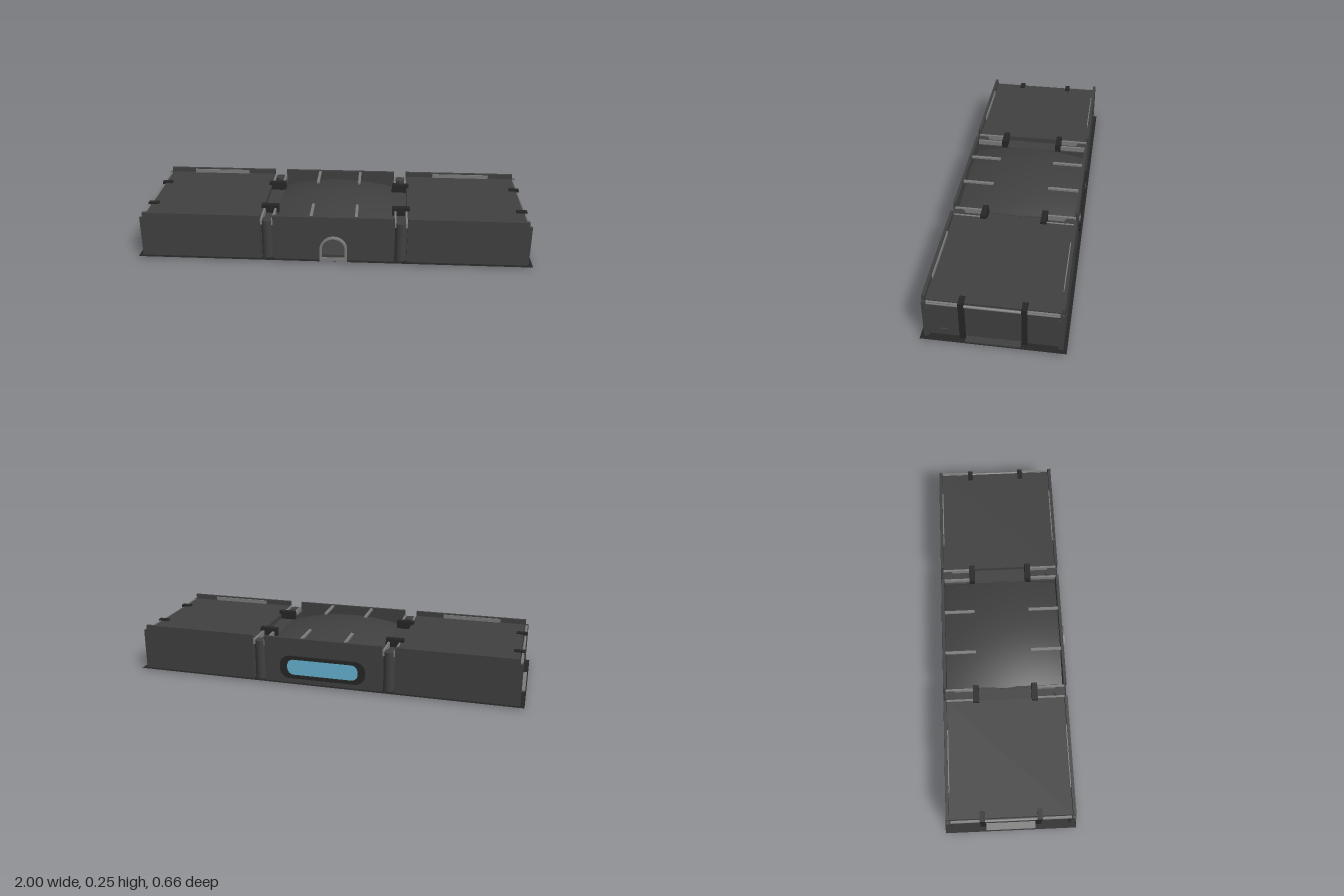
import * as THREE from 'three';

const material = (color) => new THREE.MeshStandardMaterial({ color, side: THREE.DoubleSide });

export function createModel() {
  const root = new THREE.Group();
  const dark = material(0x404040), black = material(0x262626);
  const light = material(0x7c7c7c), glass = material(0x66b4d4);

  const add = (name, geo, mat, x = 0, y = 0, z = 0, parent = root) => {
    const m = new THREE.Mesh(geo, mat);
    m.name = name;
    m.position.set(x, y, z);
    parent.add(m);
    return m;
  };
  // box given by its limits on each axis
  const box = (name, mat, x0, x1, y0, y1, z0, z1, parent = root) =>
    add(name, new THREE.BoxGeometry(x1 - x0, y1 - y0, z1 - z0), mat,
      (x0 + x1) / 2, (y0 + y1) / 2, (z0 + z1) / 2, parent);
  const extrude = (shape, depth) =>
    new THREE.ExtrudeGeometry(shape, { depth, bevelEnabled: false, curveSegments: 16 });
  const polygon = (pts) => new THREE.Shape(pts.map(([x, y]) => new THREE.Vector2(x, y)));

  // door arch and rounded window outlines
  const arch = (r, y0, spring, Type = THREE.Shape) => {
    const s = new Type();
    s.moveTo(-r, y0);
    s.lineTo(r, y0);
    s.lineTo(r, spring);
    s.absarc(0, spring, r, 0, Math.PI, false);
    s.closePath();
    return s;
  };
  const roundRect = (w, h, r, Type = THREE.Shape) => {
    const s = new Type(), cy = 0.095;
    s.moveTo(-w + r, cy - h);
    s.absarc(w - r, cy - h + r, r, -Math.PI / 2, 0, false);
    s.absarc(w - r, cy + h - r, r, 0, Math.PI / 2, false);
    s.absarc(-w + r, cy + h - r, r, Math.PI / 2, Math.PI, false);
    s.absarc(-w + r, cy - h + r, r, Math.PI, Math.PI * 1.5, false);
    return s;
  };

  // thin ground plate
  const plate = add('groundPlate', new THREE.PlaneGeometry(2, 0.664), black, 0, 0.009, 0);
  plate.rotation.x = -Math.PI / 2;

  // underside: floor slab and grid of tiles for each module
  for (const cx of [-0.66, 0, 0.66]) {
    box('floorSlab', dark, cx - 0.3, cx + 0.3, 0.003, 0.014, -0.297, 0.297);
    for (let i = 0; i < 8; i++) for (let j = 0; j < 8; j++) {
      const x = cx + (i - 3.5) * 0.074, z = (j - 3.5) * 0.073;
      box('floorTile', black, x - 0.035, x + 0.035, 0, 0.003, z - 0.035, z + 0.035);
    }
  }

  // end modules, mirrored
  for (const s of [-1, 1]) {
    const g = new THREE.Group();
    g.name = s > 0 ? 'leftModule' : 'rightModule';
    root.add(g);
    const bx = (name, mat, x0, x1, ...r) =>
      box(name, mat, Math.min(s * x0, s * x1), Math.max(s * x0, s * x1), ...r, g);
    bx('moduleBody', dark, 0.37, 0.96, 0.01, 0.222, -0.3, 0.3);
    const wall = polygon([[0.37, 0.01], [0.98, 0.01], [0.98, 0.22], [0.965, 0.22], [0.965, 0.247], [0.37, 0.247]]
      .map(([x, y]) => [s * x, y]));
    for (const z of [-0.315, 0.3]) add('longWall', extrude(wall, 0.015), dark, 0, 0, z, g);
    for (const t of [-1, 1]) {
      // roof edge bar, end post, roof clamp
      const z = t * 0.3;
      bx('roofEdgeBar', light, 0.52, 0.83, 0.222, 0.242, z - 0.005, z + 0.005);
      bx('endPost', black, 0.958, 0.975, 0.01, 0.222, t * 0.14 - 0.013, t * 0.14 + 0.013);
      bx('roofClamp', black, 0.925, 0.978, 0.205, 0.23, t * 0.14 - 0.013, t * 0.14 + 0.013);
      bx('endRail', light, 0.965, 0.975, 0.216, 0.222, t * 0.215 - 0.08, t * 0.215 + 0.08);
      bx('cornerPost', dark, 0.95, 0.975, 0.01, 0.18, t * 0.3 - 0.008, t * 0.3 + 0.008);
    }
    const pipe = add('endPipe', new THREE.CylinderGeometry(0.007, 0.007, 0.59, 12), light, s * 0.97, 0.211, 0, g);
    pipe.rotation.x = Math.PI / 2;
    bx('endSill', s < 0 ? light : dark, 0.96, 0.995, 0.009, 0.016, -0.125, 0.125);
  }
  box('endHatch', dark, 0.96, 0.968, 0.018, 0.052, 0.208, 0.242);

  // middle module: walls with door and window openings
  const outline = () => polygon([[-0.305, 0.01], [0.305, 0.01], [0.305, 0.247], [-0.305, 0.247]]);
  const front = outline();
  front.holes.push(arch(0.058, 0.03, 0.077, THREE.Path));
  add('frontWall', extrude(front, 0.015), dark, 0, 0, 0.3);
  const back = outline();
  back.holes.push(roundRect(0.185, 0.042, 0.035, THREE.Path));
  add('backWall', extrude(back, 0.015), dark, 0, 0, -0.315);
  for (const s of [-1, 1]) box('innerSideWall', dark, s * 0.3 - 0.005, s * 0.3 + 0.005, 0.01, 0.197, -0.3, 0.3);

  const doorFrame = arch(0.07, 0.01, 0.073);
  doorFrame.holes.push(arch(0.058, 0.03, 0.077, THREE.Path));
  add('doorFrame', extrude(doorFrame, 0.022), light, 0, 0, 0.311);
  box('doorStep', dark, -0.06, 0.06, 0.01, 0.045, 0.3, 0.325);
  const windowFrame = roundRect(0.222, 0.06, 0.052);
  windowFrame.holes.push(roundRect(0.185, 0.042, 0.035, THREE.Path));
  add('windowFrame', extrude(windowFrame, 0.01), black, 0, 0, -0.323);
  add('windowGlass', extrude(roundRect(0.187, 0.044, 0.036), 0.004), glass, 0, 0, -0.316);

  // shallow domed roof
  const dome = new THREE.PlaneGeometry(0.61, 0.6, 28, 28).rotateX(-Math.PI / 2);
  const p = dome.attributes.position;
  for (let i = 0; i < p.count; i++) p.setY(i, 0.238 - 0.45 * (p.getX(i) ** 2 + p.getZ(i) ** 2));
  dome.computeVertexNormals();
  add('domedRoof', dome, dark);
  for (const s of [-1, 1]) for (const t of [-1, 1])
    box('roofRib', light, s * 0.113 - 0.007, s * 0.113 + 0.007, 0.235, 0.245, t * 0.225 - 0.082, t * 0.225 + 0.082);

  // joints between modules
  for (const s of [-1, 1]) {
    const x = s * 0.337;
    box('jointBody', dark, x - 0.035, x + 0.035, 0.01, 0.195, -0.285, 0.285);
    for (const t of [-1, 1]) {
      add('jointColumn', new THREE.CylinderGeometry(0.03, 0.03, 0.205, 16), dark, x, 0.1125, t * 0.28);
      for (const d of [-0.028, 0.028])
        box('jointRail', light, x + d - 0.005, x + d + 0.005, 0.195, 0.222, t * 0.225 - 0.08, t * 0.225 + 0.08);
      box('jointClamp', black, x - 0.045, x + 0.045, 0.195, 0.238, t * 0.15 - 0.015, t * 0.15 + 0.015);
      box('underBracket', light, x - 0.05, x + 0.05, 0.001, 0.008, t * 0.15 - 0.01, t * 0.15 + 0.01);
    }
    box('underSeam', dark, x - 0.012, x + 0.012, 0, 0.008, -0.297, 0.297);
  }
  return root;
}
